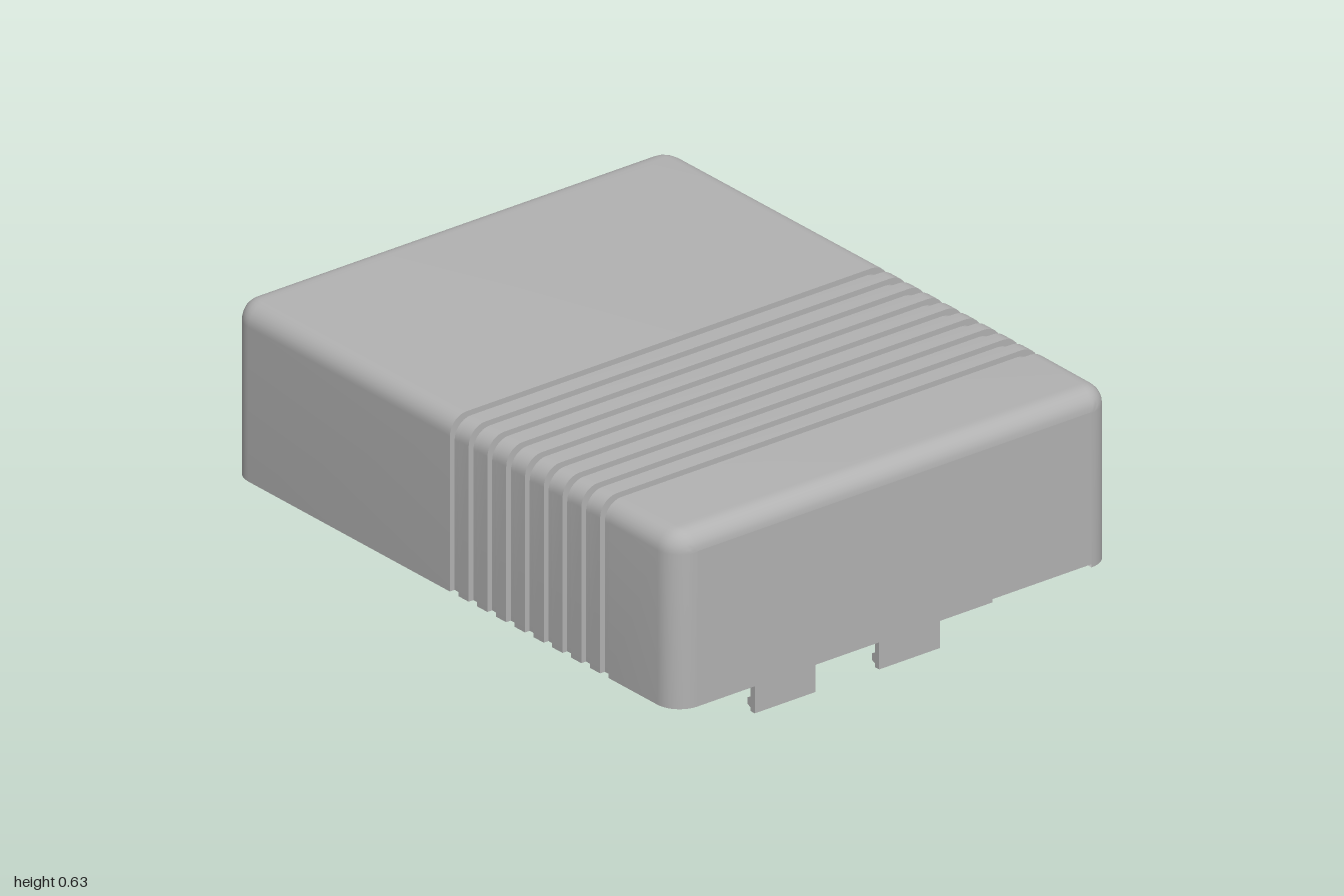
import * as THREE from 'three';
import { toCreasedNormals } from 'three/addons/utils/BufferGeometryUtils.js';

const BASE = 0.085, TOP = 0.632, HALF = 0.793;   // rim height, top height, half width
const CORNER = 0.08, EDGE = 0.06;                // plan corner and top edge radii
const CEILING = 0.56, WALL = 0.69, BACK = -0.955, FRONT = 0.9;

const plastic = new THREE.MeshStandardMaterial({ color: 0xb2b2b2, side: THREE.DoubleSide });
plastic.name = 'grey plastic';

const toShape = pts => new THREE.Shape(pts.map(p => new THREE.Vector2(p[0], p[1])));

// Outline of one slice across the cover: wall, rounded edge, roof, mirrored
function arch({ w, h, r }) {
  const half = [[w, BASE]];
  for (let i = 0; i <= 7; i++) {
    const a = i / 7 * Math.PI / 2;
    half.push([w - r + r * Math.cos(a), h - r + r * Math.sin(a)]);
  }
  return [...half, ...half.slice().reverse().map(([x, y]) => [-x, y])];
}

// Slices from back to front, with rounded ends and nine grooves
function makeSlices() {
  const end = [];
  for (let i = 0; i <= 9; i++) {
    const t = i / 9 * Math.PI / 2, d = CORNER * (1 - Math.cos(t));
    const q = d < EDGE ? Math.sqrt(EDGE ** 2 - (EDGE - d) ** 2) : EDGE;
    end.push({ z: 1 - d, w: HALF - CORNER + CORNER * Math.sin(t), h: TOP - EDGE + q, r: q + 0.003 });
  }
  const full = { w: HALF, h: TOP, r: EDGE };
  const sunk = { w: HALF - 0.017, h: TOP - 0.017, r: EDGE };
  const list = end.map(s => ({ ...s, z: -s.z }));
  for (let i = 0; i < 9; i++) {
    const z0 = -0.013 + i * 0.0844, z1 = z0 + 0.038;
    list.push({ ...full, z: z0 }, { ...sunk, z: z0 }, { ...sunk, z: z1 }, { ...full, z: z1 });
  }
  return list.concat(end.reverse());
}

// Skin through all slices
function loft(slices) {
  const pos = [], idx = [], n = arch(slices[0]).length;
  slices.forEach(s => arch(s).forEach(([x, y]) => pos.push(x, y, s.z)));
  for (let i = 0; i < slices.length - 1; i++) {
    for (let j = 0; j < n - 1; j++) {
      const a = i * n + j, b = a + 1, c = a + n, d = c + 1;
      idx.push(a, b, c, b, d, c);
    }
  }
  const g = new THREE.BufferGeometry();
  g.setAttribute('position', new THREE.Float32BufferAttribute(pos, 3));
  g.setIndex(idx);
  return toCreasedNormals(g, 0.6);
}

// Vertical walls along a plan path
function wallStrip(path, y0, y1) {
  const pos = [];
  for (let i = 0; i < path.length - 1; i++) {
    const [ax, az] = path[i], [bx, bz] = path[i + 1];
    pos.push(ax, y0, az, ax, y1, az, bx, y0, bz, bx, y0, bz, ax, y1, az, bx, y1, bz);
  }
  const g = new THREE.BufferGeometry();
  g.setAttribute('position', new THREE.Float32BufferAttribute(pos, 3));
  g.computeVertexNormals();
  return g;
}

// Flat plate facing down, with round holes, drawn in x and z
function plate(pts, holes, y) {
  const shape = toShape(pts);
  holes.forEach(([x, z, r]) => shape.holes.push(new THREE.Path().absarc(x, z, r, 0, Math.PI * 2, true)));
  return new THREE.ShapeGeometry(shape, 16).rotateX(Math.PI / 2).translate(0, y, 0);
}

export function createModel() {
  const group = new THREE.Group();
  const add = (name, geometry) => {
    const mesh = new THREE.Mesh(geometry, plastic);
    mesh.name = name;
    group.add(mesh);
  };
  const slices = makeSlices();
  add('ribbedCover', loft(slices));

  // End walls: the front has a shallow slot, the back a wide opening
  const face = arch(slices[0]), sill = HALF - CORNER;
  const frontPts = [...face, [0.355, BASE], [0.355, BASE + 0.01], [sill, BASE + 0.01]];
  frontPts.shift();
  add('frontWall', new THREE.ExtrudeGeometry(toShape(frontPts), { depth: 0.03, bevelEnabled: false })
    .translate(0, 0, 0.97));
  const opening = [[0.47, BASE]];
  for (let i = 0; i <= 5; i++) {
    const a = i / 5 * Math.PI / 2;
    opening.push([0.445 + 0.025 * Math.cos(a), 0.435 + 0.025 * Math.sin(a)]);
  }
  const backPts = [...face, ...opening.map(([x, y]) => [-x, y]), ...opening.slice().reverse()];
  add('backWall', new THREE.ExtrudeGeometry(toShape(backPts), { depth: 0.045, bevelEnabled: false })
    .translate(0, 0, -1));

  // Bottom rim follows the grooved outside and the inner walls with corner bosses
  const halfInner = [[0.58, BACK], [0.58, -0.86], [WALL, -0.86], [WALL, FRONT]];
  const inner = [...halfInner, ...halfInner.slice().reverse().map(([x, z]) => [-x, z])];
  const right = slices.map(s => [s.w, s.z]);
  const left = right.slice().reverse().map(([x, z]) => [-x, z]);
  const rim = [[0.47, -1], ...right, [sill, 0.97], [0.355, 0.97], [0.355, 1], ...left,
    [-0.47, -1], [-0.47, BACK], ...inner.slice().reverse(), [0.47, BACK]];
  const screws = [[0.64, -0.932, 0.02], [-0.64, -0.932, 0.02]];
  add('bottomRim', plate(rim, screws, BASE));
  add('innerWalls', wallStrip(inner, BASE, CEILING));

  // Ceiling with two blind holes
  const pins = [[0.147, 0.79, 0.02], [-0.147, 0.79, 0.02]];
  add('ceiling', plate([[-WALL, BACK], [WALL, BACK], [WALL, FRONT], [-WALL, FRONT]], pins, CEILING));
  const bore = (name, [x, z, r], y, depth) => add(name,
    new THREE.CylinderGeometry(r, r, depth, 16, 1, true).translate(x, y + depth / 2, z));
  screws.forEach(s => bore('screwHole', s, BASE, 0.2));
  pins.forEach(p => bore('ceilingHole', p, CEILING, 0.05));

  // Snap tabs under the front wall, each with a small inward hook
  const hook = [[1, 0], [1, 0.1], [0.98, 0.1], [0.98, 0.045], [0.967, 0.038], [0.967, 0.018], [0.98, 0.012], [0.98, 0]];
  [[-0.505, -0.285], [-0.055, 0.165]].forEach(([x0, x1]) => {
    add('snapTab', new THREE.ExtrudeGeometry(toShape(hook), { depth: x1 - x0, bevelEnabled: false })
      .rotateY(-Math.PI / 2).translate(x1, 0, 0));
  });
  return group;
}
